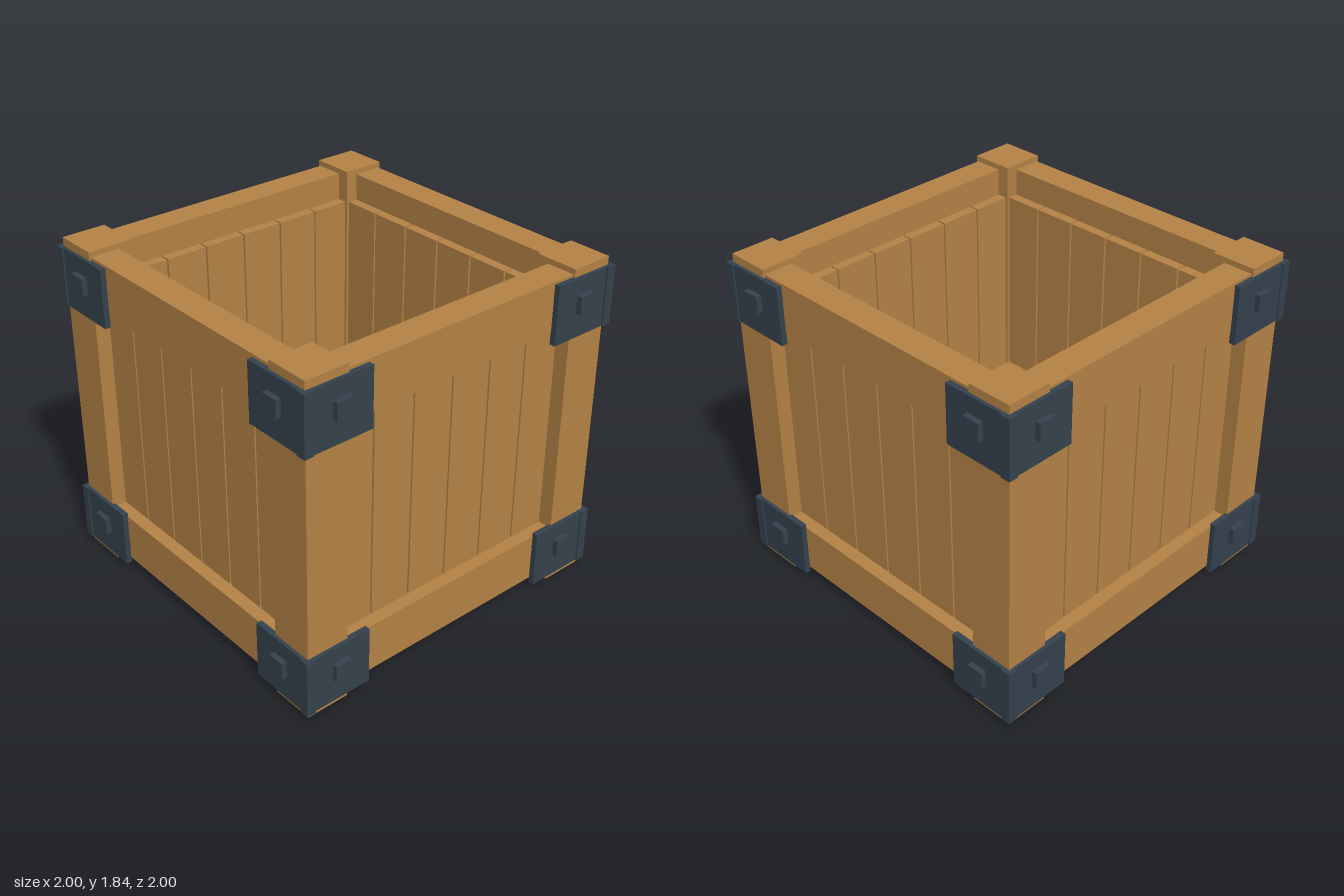
import * as THREE from 'three';

export function createModel() {
  const wood = new THREE.MeshStandardMaterial({ color: 0xb58346 });
  wood.name = 'wood';
  const iron = new THREE.MeshStandardMaterial({ color: 0x35424d });
  iron.name = 'dark iron';
  const crate = new THREE.Group();
  crate.name = 'crate';

  // box given by its min and max on each axis
  function box(parent, name, material, [x0, x1], [y0, y1], [z0, z1]) {
    const mesh = new THREE.Mesh(new THREE.BoxGeometry(x1 - x0, y1 - y0, z1 - z0), material);
    mesh.position.set((x0 + x1) / 2, (y0 + y1) / 2, (z0 + z1) / 2);
    mesh.name = name;
    parent.add(mesh);
  }

  const pitch = 0.245, half = 0.1175;
  const planks = [];
  for (let i = 0; i < 6; i++) {
    const c = (i - 2.5) * pitch;
    planks.push([c - half, c + half]);
  }

  // floor boards running front to back
  const floor = new THREE.Group();
  floor.name = 'floor';
  crate.add(floor);
  for (const span of planks) box(floor, 'floorPlank', wood, span, [0.003, 0.13], [-0.87, 0.87]);

  // four sides, each with wall planks, two rails and a corner post
  for (let i = 0; i < 4; i++) {
    const side = new THREE.Group();
    side.name = 'side';
    side.rotation.y = i * Math.PI / 2;
    crate.add(side);

    for (const span of planks) box(side, 'wallPlank', wood, span, [0.07, 1.66], [0.725, 0.87]);
    for (const y of [0.065, 1.54]) box(side, 'rail', wood, [-0.72, 0.72], [y, y + 0.27], [0.78, 0.94]);
    box(side, 'cornerPost', wood, [0.71, 0.952], [0, 1.84], [0.71, 0.952]);

    // iron corner brackets with square bolts on both faces
    for (const y of [0.035, 1.475]) {
      const bracket = new THREE.Group();
      bracket.name = 'cornerBracket';
      side.add(bracket);
      const h = [y, y + 0.32], bolt = [y + 0.135, y + 0.23];
      box(bracket, 'bracketCorner', iron, [0.925, 0.978], h, [0.925, 0.978]);
      box(bracket, 'frontPlate', iron, [0.585, 0.93], h, [0.938, 0.97]);
      box(bracket, 'sidePlate', iron, [0.938, 0.97], h, [0.585, 0.93]);
      box(bracket, 'frontBolt', iron, [0.72, 0.815], bolt, [0.96, 1]);
      box(bracket, 'sideBolt', iron, [0.96, 1], bolt, [0.72, 0.815]);
    }
  }
  return crate;
}
